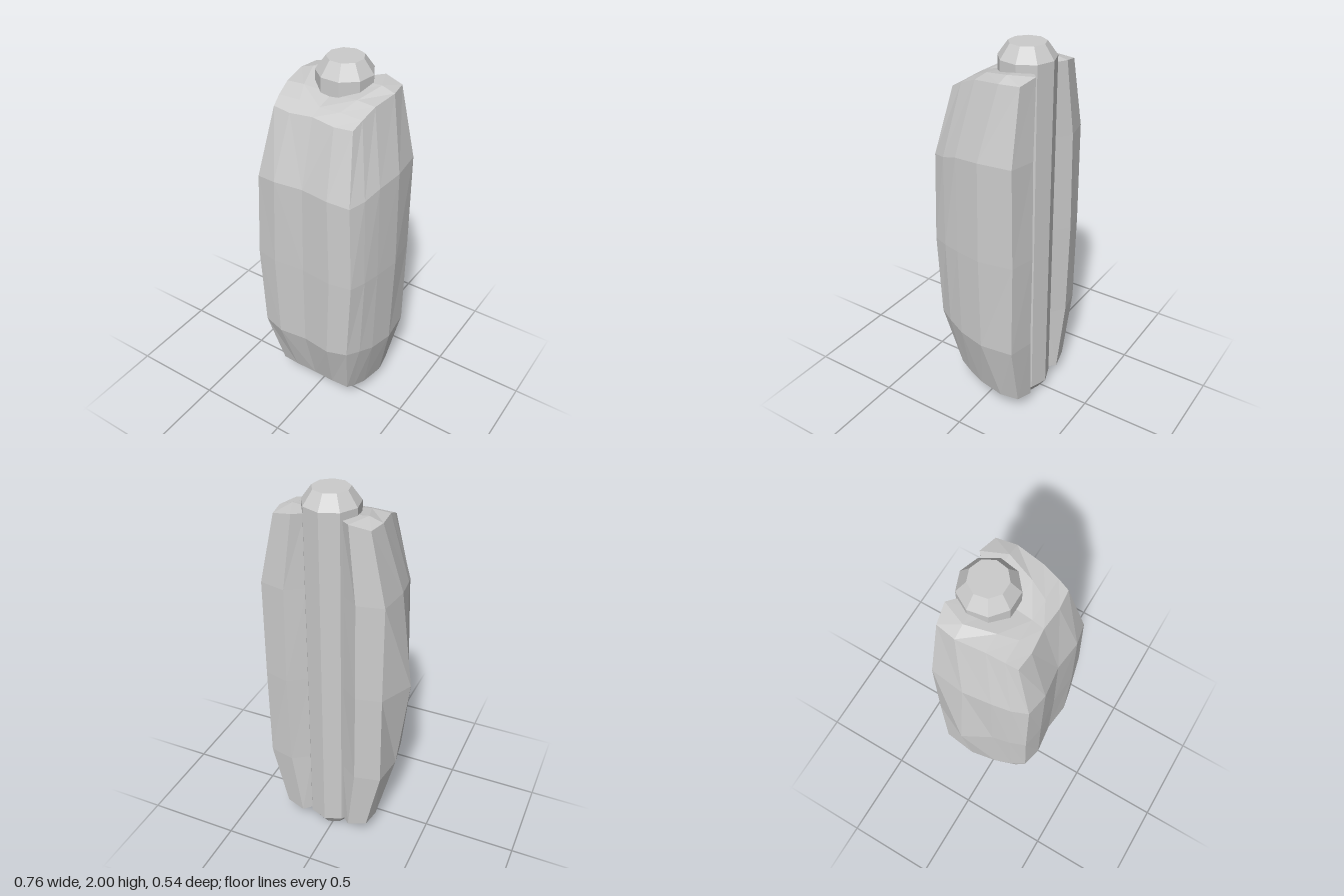
import * as THREE from 'three';

const CX = 0.025; // symmetry plane of the sleeve and rod
const MID = 0.985; // mid height of the sleeve

// Half outline, front centre -> side -> back lip -> groove.
// Each row: end x, z, half height | shoulder x, z, half height | middle x, z
const HALF = [
  [0, 0.158, 0.82, 0, 0.25, 0.48, 0, 0.256],
  [0.12, 0.167, 0.81, 0.15, 0.268, 0.48, 0.165, 0.272],
  [0.215, 0.158, 0.815, 0.26, 0.245, 0.465, 0.28, 0.25],
  [0.227, 0.1, 0.845, 0.295, 0.17, 0.48, 0.31, 0.17],
  [0.24, 0.015, 0.878, 0.32, 0.08, 0.51, 0.33, 0.08],
  [0.258, -0.125, 0.89, 0.342, -0.06, 0.525, 0.352, -0.06],
  [0.24, -0.225, 0.89, 0.32, -0.235, 0.525, 0.32, -0.24],
  [0.14, -0.245, 0.91, 0.185, -0.265, 0.525, 0.19, -0.272],
  [0.09, -0.203, 0.905, 0.09, -0.2, 0.525, 0.09, -0.2],
];

// Inner points of the sloped end cap; the ring around the rod dips slightly
const CAP = {
  a0: [0, 0.1, 0.845], a1: [0.11, 0.1, 0.85],
  b0: [0, 0, 0.87], b1: [0.145, 0.015, 0.885],
  c0: [0.1, -0.13, 0.905], c1: [0.19, -0.125, 0.912],
};
const CAP_ROWS = [[0, 1, 2], ['a0', 'a1', 3], ['b0', 'b1', 4], ['c0', 'c1', 5], [8, 7, 6]];

function sleeveGeometry() {
  const pos = [];
  const quad = (a, b, c, d, flip) => {
    const order = flip ? [a, c, b, a, d, c] : [a, b, c, a, c, d];
    order.forEach((p) => pos.push(...p));
  };

  // Point on the wall at one of five levels (0 bottom .. 4 top)
  const wall = (i, side, level) => {
    const h = HALF[i];
    const up = level > 2 ? 1 : -1;
    if (level === 2) {
      const x = side < 0 && i === 5 ? 0.405 : h[6]; // pointed bulge on one side
      return [CX + side * x, MID, h[7]];
    }
    const o = level === 0 || level === 4 ? 0 : 3;
    return [CX + side * h[o], MID + up * h[o + 2], h[o + 1]];
  };

  for (const side of [1, -1]) {
    // Outer wall
    for (let i = 0; i < HALF.length - 1; i++) {
      for (let l = 0; l < 4; l++) {
        quad(wall(i, side, l), wall(i + 1, side, l), wall(i + 1, side, l + 1), wall(i, side, l + 1), side < 0);
      }
    }
    // End caps
    for (const up of [1, -1]) {
      const pt = (k) => {
        const [x, z, y] = typeof k === 'number' ? HALF[k] : CAP[k];
        return [CX + side * x, MID + up * y, z];
      };
      for (let r = 0; r < CAP_ROWS.length - 1; r++) {
        for (let c = 0; c < 2; c++) {
          quad(pt(CAP_ROWS[r][c]), pt(CAP_ROWS[r][c + 1]), pt(CAP_ROWS[r + 1][c + 1]), pt(CAP_ROWS[r + 1][c]), side * up < 0);
        }
      }
    }
  }
  const g = new THREE.BufferGeometry();
  g.setAttribute('position', new THREE.Float32BufferAttribute(pos, 3));
  g.computeVertexNormals();
  return g;
}

export function createModel() {
  const group = new THREE.Group();
  const material = new THREE.MeshStandardMaterial({ color: 0xcccccc, flatShading: true, side: THREE.DoubleSide });

  // Padded sleeve, open at the back
  const sleeve = new THREE.Mesh(sleeveGeometry(), material);
  sleeve.name = 'sleeve';
  group.add(sleeve);

  // Nine-sided rod with bevelled ends
  const profile = [[0, 0], [0.092, 0], [0.142, 0.07], [0.142, 1.93], [0.092, 2], [0, 2]]
    .map(([r, y]) => new THREE.Vector2(r, y));
  const rod = new THREE.Mesh(new THREE.LatheGeometry(profile, 9, Math.PI), material);
  rod.name = 'rod';
  rod.position.set(CX, 0, -0.113);
  group.add(rod);

  return group;
}
